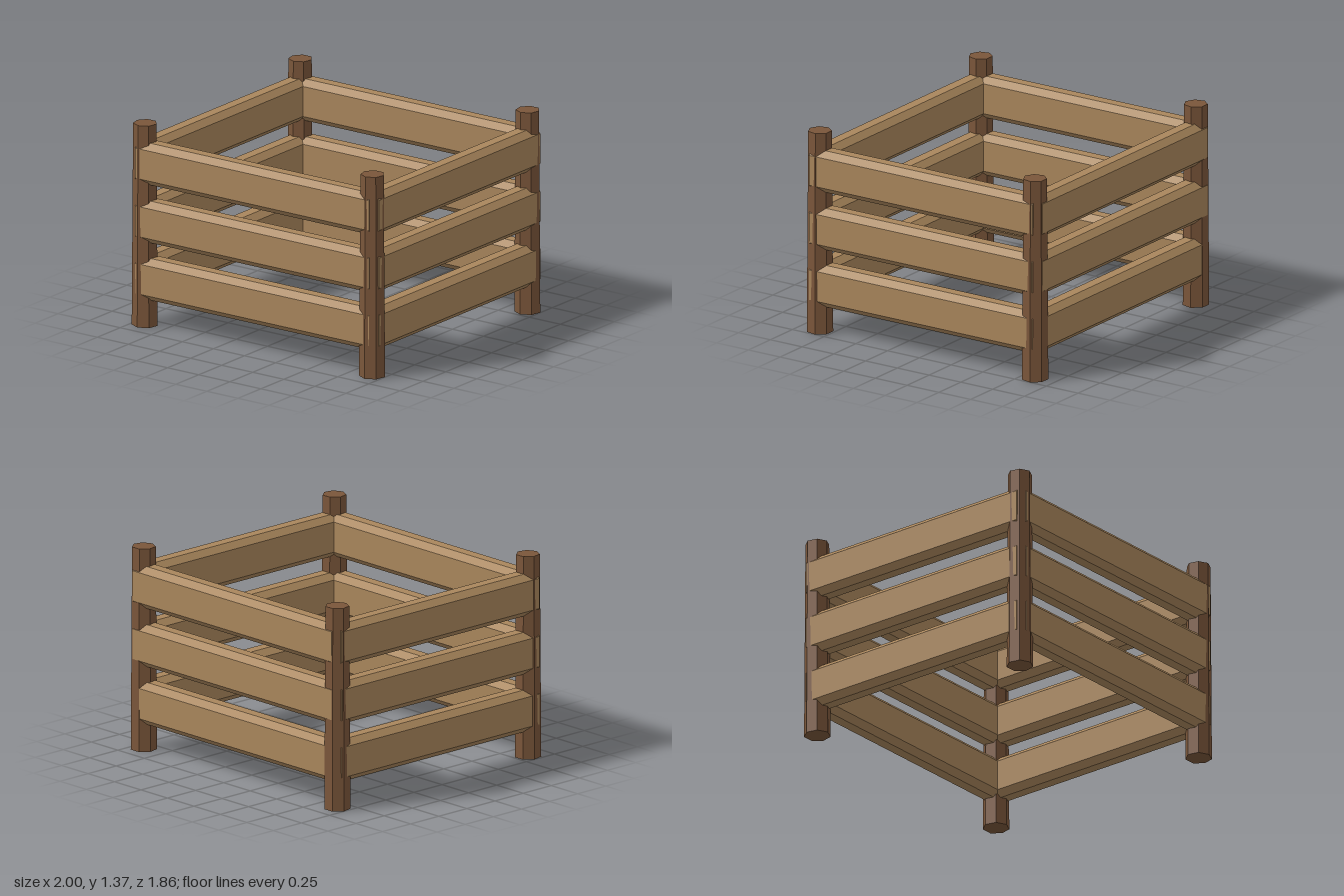
import * as THREE from 'three';

const HEIGHT = 1.37;
const POST_X = 0.914, POST_Z = 0.847, Z_SHIFT = -0.004;
const RAIL_LEVELS = [0.327, 0.717, 1.11];

// Upright plank with chamfered long edges, centred, running along z
function railGeometry(length) {
  const w = 0.076, h = 0.142, c = 0.04;
  const profile = new THREE.Shape([
    [w, -h + c], [w, h - c], [w - c, h], [-w + c, h],
    [-w, h - c], [-w, -h + c], [-w + c, -h], [w - c, -h],
  ].map(([x, y]) => new THREE.Vector2(x, y)));
  return new THREE.ExtrudeGeometry(profile, { depth: length, bevelEnabled: false })
    .translate(0, 0, -length / 2);
}

export function createModel() {
  const postWood = new THREE.MeshStandardMaterial({ name: 'dark post wood', color: 0x7a563a, flatShading: true });
  const railWood = new THREE.MeshStandardMaterial({ name: 'light rail wood', color: 0xa9865c, flatShading: true });

  const model = new THREE.Group();
  model.name = 'fencePen';

  const add = (name, geometry, material, x, y, z) => {
    const mesh = new THREE.Mesh(geometry, material);
    mesh.name = name;
    mesh.position.set(x, y, z + Z_SHIFT);
    model.add(mesh);
  };

  // Four slightly tapered seven-sided corner posts
  const post = new THREE.CylinderGeometry(0.079, 0.088, HEIGHT, 7);
  for (const sx of [-1, 1]) {
    for (const sz of [-1, 1]) {
      const name = (sz > 0 ? 'front' : 'back') + (sx > 0 ? 'Left' : 'Right') + 'Post';
      add(name, post, postWood, sx * POST_X, HEIGHT / 2, sz * POST_Z);
    }
  }

  // Three levels of rails, their ends reaching just past the post centres
  const crossRail = railGeometry(2 * (POST_X + 0.026)).rotateY(Math.PI / 2);
  const sideRail = railGeometry(2 * (POST_Z + 0.033));
  RAIL_LEVELS.forEach((y, i) => {
    for (const s of [-1, 1]) {
      add((s > 0 ? 'front' : 'back') + 'Rail' + (i + 1), crossRail, railWood, 0, y, s * POST_Z);
      add((s > 0 ? 'left' : 'right') + 'Rail' + (i + 1), sideRail, railWood, s * POST_X, y, 0);
    }
  });

  return model;
}
